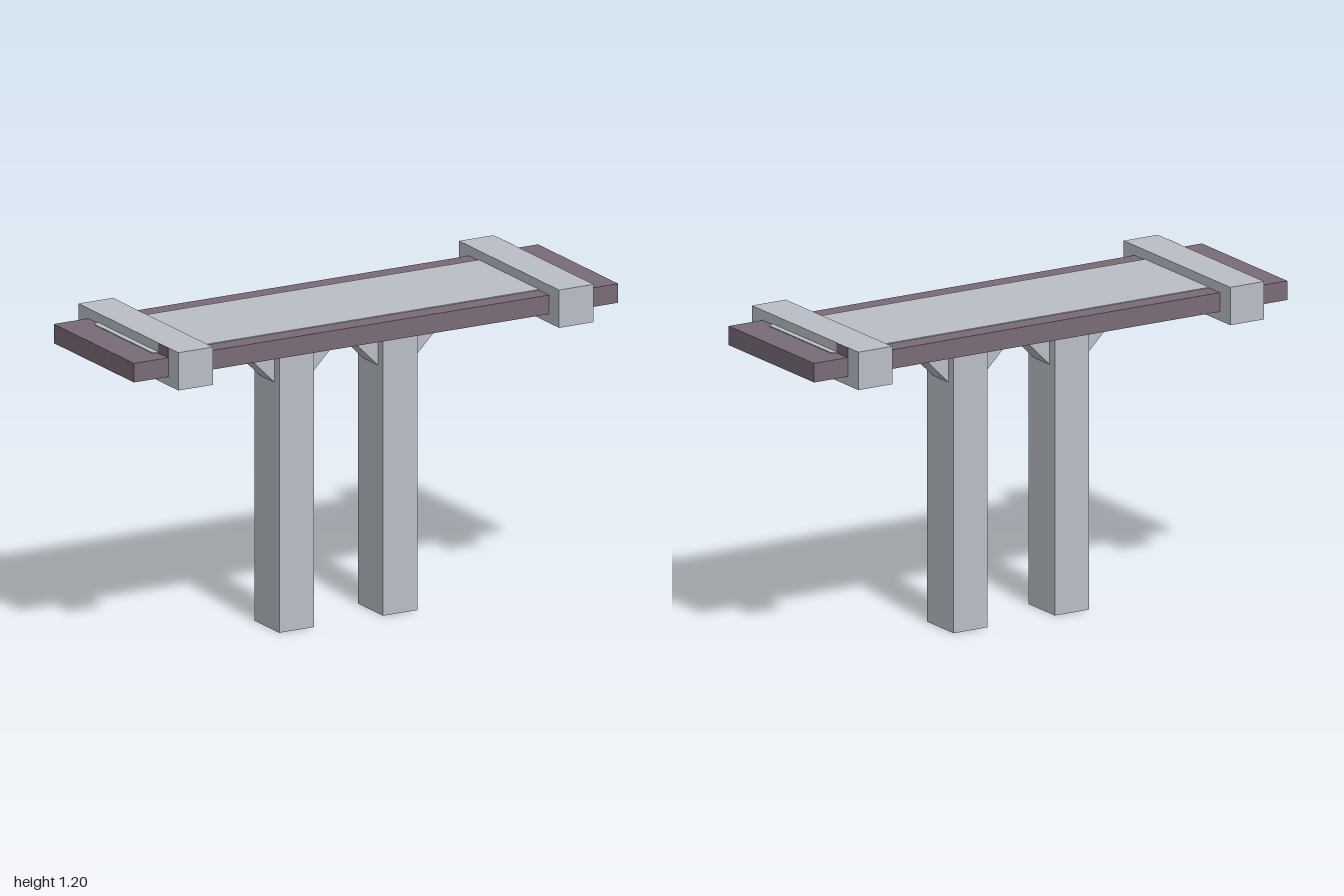
import * as THREE from 'three';

export function createModel() {
  const model = new THREE.Group();
  const grey = new THREE.MeshStandardMaterial({ color: 0xbabec7 });
  grey.name = 'pale grey';
  const purple = new THREE.MeshStandardMaterial({ color: 0x796b78 });
  purple.name = 'dusky purple';

  const add = (name, geometry, material) => {
    const mesh = new THREE.Mesh(geometry, material);
    mesh.name = name;
    model.add(mesh);
    return mesh;
  };
  // Box given by its limits on each axis
  const box = (name, [x0, x1], [y0, y1], [z0, z1], material) => {
    const mesh = add(name, new THREE.BoxGeometry(x1 - x0, y1 - y0, z1 - z0), material);
    mesh.position.set((x0 + x1) / 2, (y0 + y1) / 2, (z0 + z1) / 2);
    return mesh;
  };

  // Board
  box('board', [-1, 1], [1.09, 1.161], [-0.286, 0.286], purple);

  // Thin inlays with rounded corners on the top and underside of the board
  const w = 0.88, d = 0.215, r = 0.018;
  const outline = new THREE.Shape();
  outline.absarc(w - r, d - r, r, 0, Math.PI / 2);
  outline.absarc(-w + r, d - r, r, Math.PI / 2, Math.PI);
  outline.absarc(-w + r, -d + r, r, Math.PI, Math.PI * 1.5);
  outline.absarc(w - r, -d + r, r, Math.PI * 1.5, Math.PI * 2);
  const inlay = new THREE.ExtrudeGeometry(outline, { depth: 0.003, bevelEnabled: false, curveSegments: 4 });
  inlay.rotateX(-Math.PI / 2);
  add('topInlay', inlay, grey).position.y = 1.161;
  add('bottomInlay', inlay, grey).position.y = 1.087;

  // Centre beam, purple sides and grey underside
  box('centreBeam', [-0.714, 0.714], [1.059, 1.09], [-0.071, 0.071],
    [purple, purple, purple, grey, purple, purple]);

  // Triangular brace, pointing to +x from the side of a leg
  const triangle = new THREE.Shape([
    new THREE.Vector2(0, 0.925), new THREE.Vector2(0.134, 1.059), new THREE.Vector2(0, 1.059),
  ]);
  const brace = new THREE.ExtrudeGeometry(triangle, { depth: 0.107, bevelEnabled: false });
  brace.translate(0, 0, -0.0535);

  for (const s of [-1, 1]) {
    // Clamps around the board, with a painted patch on the outer face
    const x = s * 0.786;
    box('clamp', [x - 0.0715, x + 0.0715], [1.057, 1.198], [-0.357, 0.357], grey);
    const face = s * 0.8575, zc = -s * 0.25;
    box('clampPatch', [face - 0.002, face + 0.002], [1.161, 1.198], [zc - 0.0355, zc + 0.0355], purple);

    // Legs with painted collars at the front and back
    const leg = s * 0.214;
    box('leg', [leg - 0.0715, leg + 0.0715], [0, 1.09], [-0.0885, 0.0885], grey);
    for (const f of [-1, 1]) {
      const z = f * 0.0885;
      box('legCollar', [leg - 0.0715, leg + 0.0715], [1.036, 1.09], [z - 0.002, z + 0.002], purple);
      // Braces on both sides of the leg
      const b = add('brace', brace, grey);
      b.position.x = leg + f * 0.0715;
      b.rotation.y = f > 0 ? 0 : Math.PI;
    }
  }
  return model;
}
